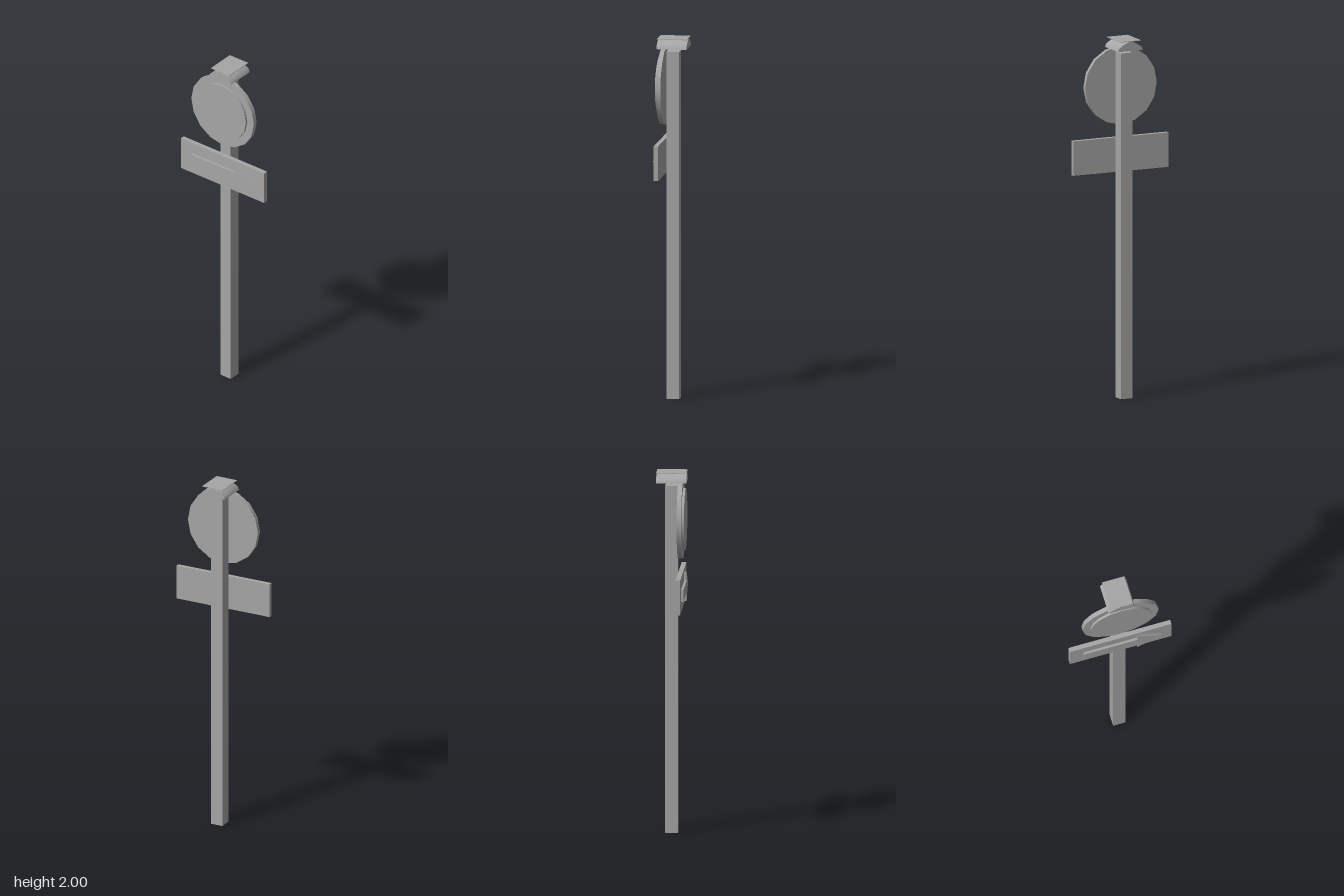
import * as THREE from 'three';
import { toCreasedNormals } from 'three/addons/utils/BufferGeometryUtils.js';

const FACE = 0.037; // front plane of the post, where the signs are fixed

export function createModel() {
  const model = new THREE.Group();
  model.name = 'signpost';
  const grey = new THREE.MeshStandardMaterial({ color: 0xa6a6a6 });
  grey.name = 'grey';

  const add = (name, geometry, x, y, z) => {
    const mesh = new THREE.Mesh(geometry, grey);
    mesh.name = name;
    mesh.position.set(x, y, z);
    model.add(mesh);
  };
  const extrude = (points, depth) => new THREE.ExtrudeGeometry(
    new THREE.Shape(points.map(([x, y]) => new THREE.Vector2(x, y))),
    { depth, bevelEnabled: false });
  const disc = (radius, depth, sides) => toCreasedNormals(
    new THREE.CylinderGeometry(radius, radius, depth, sides).rotateX(Math.PI / 2), 0.8);

  // Square post
  add('post', new THREE.BoxGeometry(0.07, 1.925, 0.07), 0, 0.9625, 0);

  // Round sign with a raised centre
  add('roundSign', disc(0.217, 0.025, 16), 0, 1.733, FACE + 0.0125);
  add('roundSignCentre', disc(0.172, 0.013, 16), 0, 1.735, FACE + 0.0315);

  // Direction board with a raised arrow
  add('directionBoard', new THREE.BoxGeometry(0.578, 0.192, 0.025), 0, 1.349, FACE + 0.0125);
  add('arrow', extrude([
    [-0.21, -0.033], [0.092, -0.033], [0.092, -0.083], [0.23, 0],
    [0.092, 0.083], [0.092, 0.033], [-0.21, 0.033],
  ], 0.013), 0, 1.346, FACE + 0.025);

  // Domed cap, running front to back above the post
  const half = [[0.075, 0], [0.068, 0.018], [0.036, 0.039]];
  const mirrored = half.map(([x, y]) => [-x, y]).reverse();
  add('cap', toCreasedNormals(extrude([...half, [0, 0.053], ...mirrored], 0.166), 0.8),
    0, 1.945, -0.083);

  // Thin flat plate resting on the ridge of the cap
  add('capPlate', new THREE.BoxGeometry(0.127, 0.003, 0.166), 0, 1.9985, 0);

  return model;
}
